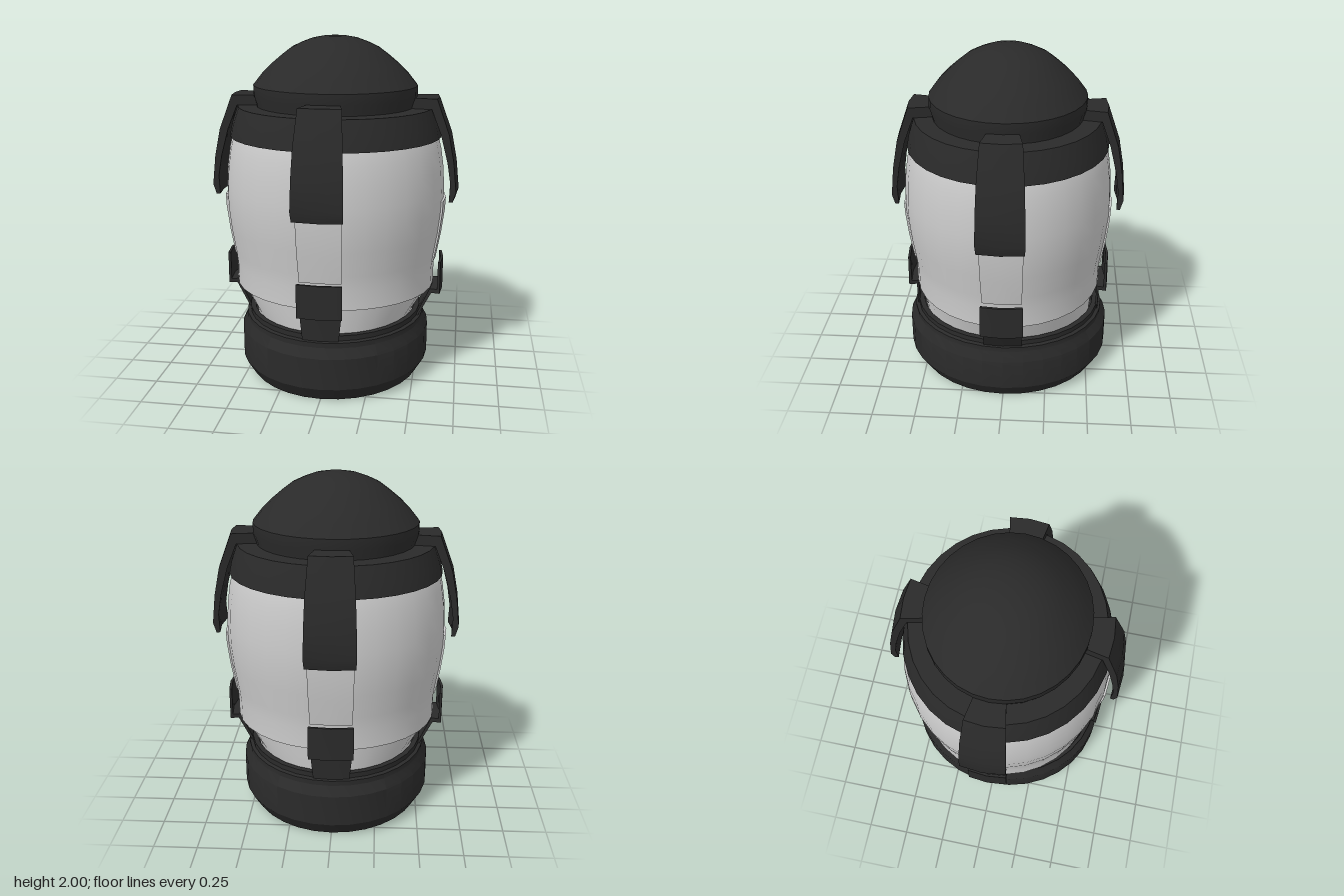
import * as THREE from 'three';
import { mergeGeometries, toCreasedNormals } from 'three/addons/utils/BufferGeometryUtils.js';

const SIDES = 32;
const CLIP_ANGLE = Math.PI / 8;

// Round sections become ovals: the upper body is wider in x, the base is deeper in z
function makeOval(geometry) {
  const p = geometry.attributes.position;
  for (let i = 0; i < p.count; i++) {
    const t = THREE.MathUtils.clamp((p.getY(i) - 0.39) / 0.12, 0, 1);
    p.setZ(i, p.getZ(i) * THREE.MathUtils.lerp(1.085, 0.94, t));
  }
  return toCreasedNormals(geometry, Math.PI / 6);
}

const toPoints = (list) => list.map(([r, y]) => new THREE.Vector2(r, y));

// Full turned part; profile runs up the outside
function turned(profile) {
  return makeOval(new THREE.LatheGeometry(toPoints(profile), SIDES).toNonIndexed());
}

// Narrow turned wedge of a closed profile, centred on an angle, with both ends capped
function wedge(profile, angle) {
  const points = toPoints(profile);
  const start = angle - CLIP_ANGLE / 2;
  const parts = [new THREE.LatheGeometry([...points, points[0].clone()], 2, start, CLIP_ANGLE).toNonIndexed()];
  for (const a of [start, start + CLIP_ANGLE]) {
    const cap = new THREE.ShapeGeometry(new THREE.Shape(points)).rotateY(a - Math.PI / 2);
    parts.push(cap.toNonIndexed());
  }
  return makeOval(mergeGeometries(parts));
}

export function createModel() {
  const model = new THREE.Group();
  const grey = new THREE.MeshStandardMaterial({ color: 0xcccccc, side: THREE.DoubleSide });
  const black = new THREE.MeshStandardMaterial({ color: 0x2a2a2a, side: THREE.DoubleSide });

  const add = (name, geometry, material) => {
    const mesh = new THREE.Mesh(geometry, material);
    mesh.name = name;
    model.add(mesh);
  };

  // Base with chamfered edges and a raised collar
  add('base', turned([
    [0, 0], [0.52, 0], [0.57, 0.085], [0.57, 0.27], [0.54, 0.325], [0.54, 0.355],
    [0.52, 0.36], [0.52, 0.39], [0.49, 0.39], [0.49, 0.34], [0, 0.34],
  ]), black);

  // Tapered sleeve between base and shell
  add('sleeve', turned([[0.475, 0.34], [0.48, 0.39], [0.555, 0.51], [0.56, 0.56]]), grey);

  // Bulging shell with a flat lower rim
  add('shell', turned([
    [0.53, 0.54], [0.597, 0.54], [0.598, 0.66], [0.607, 0.74], [0.63, 0.88], [0.645, 1.02],
    [0.645, 1.13], [0.638, 1.25], [0.622, 1.36], [0.6, 1.45], [0.57, 1.52],
  ]), grey);

  // Shoulder band around the top of the shell
  add('shoulderBand', turned([
    [0.58, 1.43], [0.62, 1.43], [0.605, 1.5], [0.57, 1.6], [0.44, 1.6],
  ]), black);

  // Domed cap
  add('domeCap', turned([
    [0.46, 1.59], [0.46, 1.61], [0.477, 1.66], [0.477, 1.72], [0.425, 1.785], [0.37, 1.84],
    [0.31, 1.89], [0.25, 1.935], [0.19, 1.963], [0.13, 1.985], [0.065, 1.997], [0, 2],
  ]), black);

  const upperClip = [
    [0.69, 1.07], [0.712, 1.07], [0.73, 1.13], [0.712, 1.3], [0.68, 1.46], [0.605, 1.66],
    [0.46, 1.66], [0.46, 1.6], [0.575, 1.6], [0.632, 1.46], [0.675, 1.3], [0.695, 1.18],
  ];
  const lowerClip = [
    [0.515, 0.36], [0.527, 0.355], [0.605, 0.505], [0.655, 0.505], [0.655, 0.7],
    [0.64, 0.7], [0.64, 0.53], [0.595, 0.53],
  ];
  const panel = [
    [0.59, 0.7], [0.61, 0.7], [0.638, 0.86], [0.655, 1.0], [0.658, 1.07], [0.63, 1.07],
  ];

  // Four sets of clips and raised panels, one per side
  ['front', 'left', 'back', 'right'].forEach((side, i) => {
    const angle = i * Math.PI / 2;
    add(side + 'UpperClip', wedge(upperClip, angle), black);
    add(side + 'LowerClip', wedge(lowerClip, angle), black);
    add(side + 'Panel', wedge(panel, angle), grey);
  });

  return model;
}
